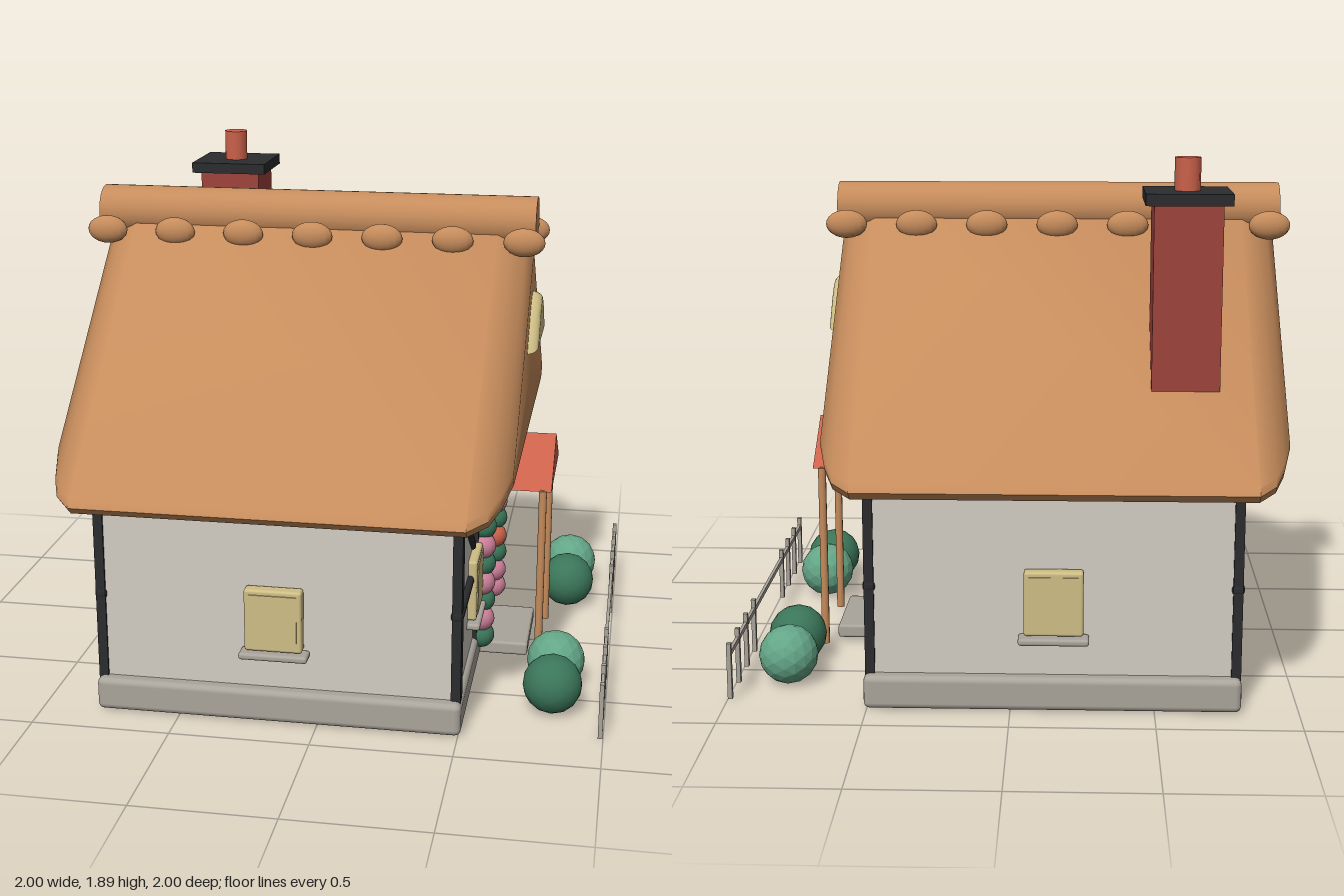
import * as THREE from 'three';
import { toCreasedNormals } from 'three/addons/utils/BufferGeometryUtils.js';
import { RoundedBoxGeometry } from 'three/addons/geometries/RoundedBoxGeometry.js';

function material(name, color, flatShading = false) {
  const m = new THREE.MeshStandardMaterial({ color, flatShading });
  m.name = name;
  return m;
}

// Gabled roof with rounded ends: a blunt-eaved triangle lofted along x
function roofGeometry() {
  const sections = [
    [-0.955, 0.72, 0.88], [-0.925, 0.84, 0.83], [-0.89, 0.93, 0.8], [-0.83, 1, 0.785],
    [0.53, 1, 0.785], [0.595, 0.93, 0.8], [0.63, 0.84, 0.83], [0.66, 0.72, 0.88],
  ];
  const rings = sections.map(([x, z, y]) => {
    const half = [[z - 0.035, y], [z, y + 0.03], [z - 0.015, y + 0.055]];
    const apex = [0, y + 0.055 + 0.873 * (z - 0.015)];
    const mirrored = half.map(([pz, py]) => [-pz, py]).reverse();
    return [...half, apex, ...mirrored].map(([pz, py]) => [x, py, pz]);
  });
  const n = rings[0].length;
  const last = rings.length - 1;
  const positions = [];
  const tri = (a, b, c) => positions.push(...a, ...b, ...c);
  for (let j = 0; j < n; j++) {
    const k = (j + 1) % n;
    for (let i = 0; i < last; i++) {
      tri(rings[i][j], rings[i + 1][j], rings[i][k]);
      tri(rings[i + 1][j], rings[i + 1][k], rings[i][k]);
    }
    tri([sections[0][0], 1.1, 0], rings[0][j], rings[0][k]);
    tri([sections[last][0], 1.1, 0], rings[last][k], rings[last][j]);
  }
  const g = new THREE.BufferGeometry();
  g.setAttribute('position', new THREE.Float32BufferAttribute(positions, 3));
  return toCreasedNormals(g, 0.65);
}

export function createModel() {
  const mat = {
    wall: material('plaster', 0xd3cdc3),
    stone: material('stone', 0xaaa59b),
    roof: material('thatch and wood', 0xc68c5c),
    timber: material('dark timber', 0x2b2c2e),
    glow: material('window yellow', 0xcfbe85),
    brick: material('chimney brick', 0x9e443c),
    clay: material('terracotta', 0xcb624b),
    green: material('dark green', 0x3b7659),
    leaf: material('light green', 0x64a687, true),
    pink: material('flower pink', 0xcd7f9a),
  };
  const house = new THREE.Group();
  house.name = 'cottage';

  function add(name, geometry, m, x = 0, y = 0, z = 0, parent = house) {
    const mesh = new THREE.Mesh(geometry, m);
    mesh.name = name;
    mesh.position.set(x, y, z);
    parent.add(mesh);
    return mesh;
  }
  const box = (name, m, w, h, d, x, y, z, parent) =>
    add(name, new THREE.BoxGeometry(w, h, d), m, x, y, z, parent);
  const rounded = (name, m, w, h, d, r, x, y, z, parent) =>
    add(name, new RoundedBoxGeometry(w, h, d, 2, r), m, x, y, z, parent);

  // Foundation and walls
  rounded('foundation', mat.stone, 1.31, 0.12, 1.74, 0.022, -0.145, 0.062, 0);
  box('walls', mat.wall, 1.27, 0.7, 1.65, -0.145, 0.46, 0);

  // Roof, ridge roll and ridge knots
  add('roof', roofGeometry(), mat.roof);
  const ridge = add('ridge', new THREE.CylinderGeometry(0.094, 0.094, 1.64, 24), mat.roof, -0.15, 1.66, 0);
  ridge.rotation.z = Math.PI / 2;
  const knot = new THREE.SphereGeometry(1, 16, 12);
  for (const side of [-1, 1]) {
    for (let i = 0; i < 7; i++) {
      add('ridgeKnot', knot, mat.roof, -0.928 + i * 0.26, 1.607, side * 0.127).scale.set(0.076, 0.052, 0.036);
    }
  }

  // Chimney
  box('chimney', mat.brick, 0.235, 0.78, 0.235, -0.597, 1.35, -0.57);
  box('chimneyCap', mat.timber, 0.295, 0.04, 0.295, -0.597, 1.757, -0.57);
  add('chimneyPot', new THREE.CylinderGeometry(0.045, 0.045, 0.12, 12), mat.clay, -0.597, 1.83, -0.57);

  // Timber framing on both gable walls
  for (const x of [0.488, -0.782]) {
    for (const side of [-1, 1]) {
      box('cornerPost', mat.timber, 0.034, 0.7, 0.06, x, 0.46, side * 0.803);
      box('innerPost', mat.timber, 0.034, 0.7, 0.05, x, 0.46, side * 0.27);
      const brace = rounded('brace', mat.timber, 0.034, 0.036, 0.39, 0.012, x, 0.635, side * 0.528);
      brace.rotation.x = -side * Math.atan2(0.22, 0.315);
    }
    rounded('rail', mat.timber, 0.045, 0.037, 1.67, 0.014, x, 0.436, 0);
  }

  // Windows: built facing +z, then turned to each wall
  function windowAt(x, z, turn) {
    const w = new THREE.Group();
    w.name = 'window';
    rounded('frame', mat.glow, 0.205, 0.23, 0.05, 0.01, 0, 0.393, 0, w);
    box('pane', mat.glow, 0.17, 0.195, 0.006, 0, 0.393, 0.026, w);
    rounded('sill', mat.stone, 0.245, 0.025, 0.07, 0.01, 0, 0.26, 0.005, w);
    w.position.set(x, 0, z);
    w.rotation.y = turn;
    house.add(w);
  }
  windowAt(-0.15, 0.853, 0);
  windowAt(-0.15, -0.853, Math.PI);
  for (const z of [-0.39, 0.39]) {
    windowAt(0.497, z, Math.PI / 2);
    windowAt(-0.793, z, -Math.PI / 2);
  }

  // Rounded attic window on the entrance gable
  const attic = new THREE.Shape();
  attic.moveTo(-0.165, 1.23);
  attic.lineTo(0.165, 1.23);
  attic.bezierCurveTo(0.12, 1.27, 0.06, 1.37, 0, 1.37);
  attic.bezierCurveTo(-0.06, 1.37, -0.12, 1.27, -0.165, 1.23);
  const atticGeometry = new THREE.ExtrudeGeometry(attic, {
    depth: 0.03, bevelThickness: 0.045, bevelSize: 0.032, bevelSegments: 5, curveSegments: 10,
  });
  add('atticWindow', toCreasedNormals(atticGeometry, 0.7), mat.glow, 0.622, 0, 0).rotation.y = Math.PI / 2;

  // Door, step and porch
  box('door', mat.green, 0.04, 0.565, 0.3, 0.5, 0.352, 0);
  box('lintel', mat.roof, 0.04, 0.05, 0.38, 0.505, 0.665, 0);
  rounded('step', mat.stone, 0.2, 0.05, 0.36, 0.01, 0.59, 0.035, 0);
  for (const side of [-1, 1]) {
    add('porchPost', new THREE.CylinderGeometry(0.015, 0.015, 0.7, 10), mat.roof, 0.733, 0.352, side * 0.212);
  }
  const gable = new THREE.Shape([
    new THREE.Vector2(-0.23, 0.697), new THREE.Vector2(0.23, 0.697), new THREE.Vector2(0, 0.852),
  ]);
  const canopy = new THREE.ExtrudeGeometry(gable, { depth: 0.285, bevelEnabled: false });
  add('porchRoof', canopy, mat.clay, 0.48, 0, 0).rotation.y = Math.PI / 2;

  // Climbing flowers beside the door
  const { green: g, pink: p, clay: r } = mat;
  const columns = [[0.245, [g, p, g, p, g, p, g, p, g]], [-0.248, [r, r, g, p, g, r, g, p, p]]];
  const bloom = new THREE.SphereGeometry(0.05, 14, 10);
  for (const [z, colors] of columns) {
    colors.forEach((m, i) => add('flower', bloom, m, 0.518, 0.7 - i * 0.073, z + (i % 2 ? 0.006 : -0.006)));
  }

  // Bushes
  const bush = new THREE.IcosahedronGeometry(0.107, 2);
  for (const [z, m] of [[-0.605, mat.leaf], [-0.39, g], [0.388, mat.leaf], [0.595, g]]) {
    add('bush', bush, m, 0.81, 0.103, z);
  }

  // Front fence
  box('fenceRail', mat.stone, 0.012, 0.018, 1.59, 0.99, 0.167, 0);
  for (const side of [-1, 1]) {
    for (let i = 0; i < 4; i++) {
      box('fencePost', mat.stone, 0.016, 0.205, 0.02, 0.99, 0.105, side * (0.785 - i * 0.157));
    }
  }
  return house;
}
